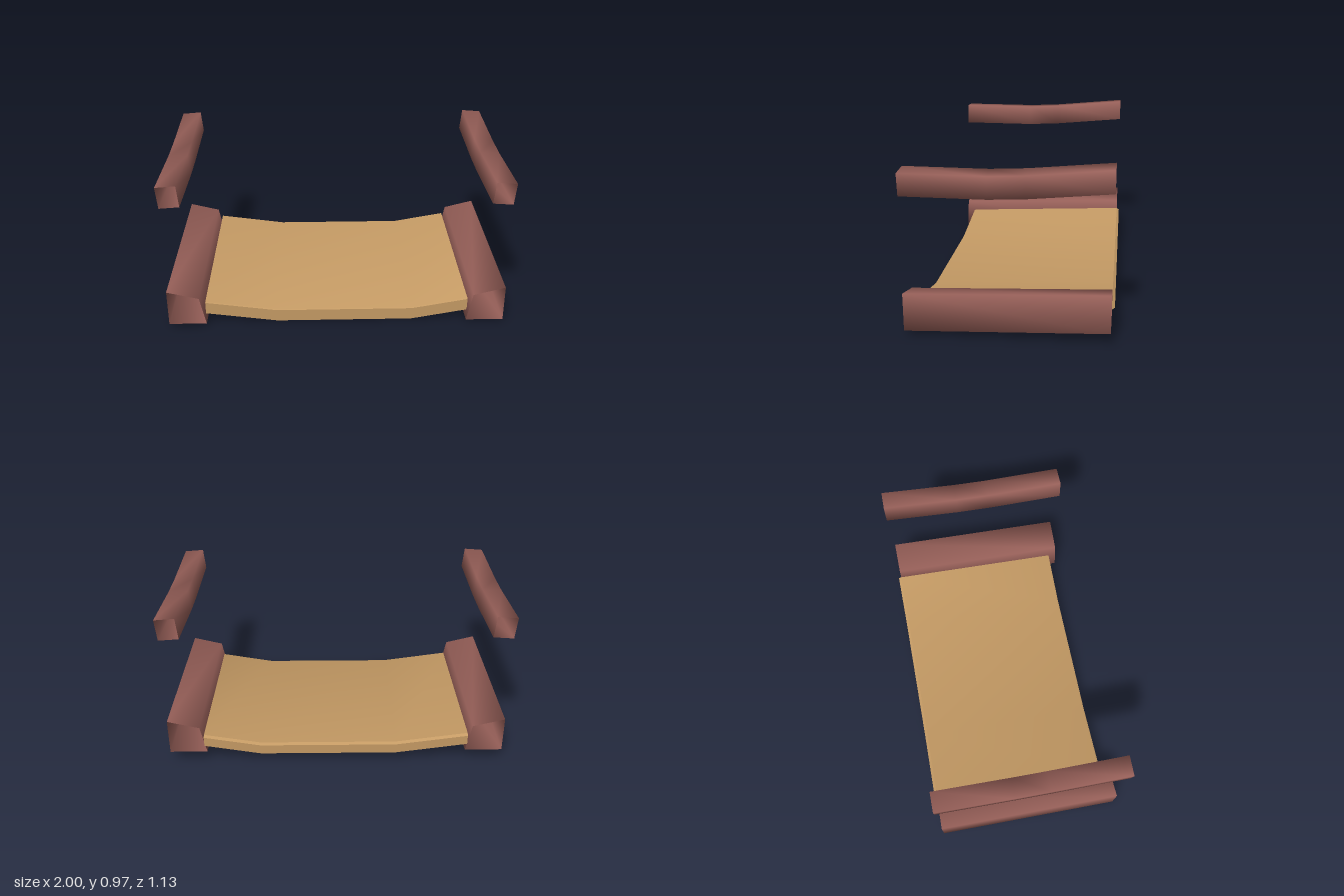
import * as THREE from 'three';
import { toCreasedNormals } from 'three/addons/utils/BufferGeometryUtils.js';

// Skin between equal rings of [x, y, z], each counter-clockwise from the front, running front to back.
function loft(rings, capped) {
  const n = rings[0].length, last = (rings.length - 1) * n, index = [];
  for (let i = 0; i < rings.length - 1; i++) {
    for (let j = 0; j < n; j++) {
      const a = i * n + j, b = i * n + (j + 1) % n, c = a + n, d = b + n;
      index.push(a, c, b, b, c, d);
    }
  }
  if (capped) {
    for (let j = 0; j < n / 2 - 1; j++) {
      const [a, b, c, d] = [j, j + 1, n - 2 - j, n - 1 - j];
      index.push(a, b, c, a, c, d);
      index.push(last + a, last + c, last + b, last + a, last + d, last + c);
    }
  }
  const g = new THREE.BufferGeometry();
  g.setAttribute('position', new THREE.Float32BufferAttribute(rings.flat(2), 3));
  g.setIndex(index);
  g.computeVertexNormals();
  return g;
}

// Open-ended tube: a cross-section lifted along z, mirrored for side -1.
function tube(section, stations, side) {
  return loft(stations.map(([z, lift]) => {
    const ring = section.map(([x, y]) => [side * x - 0.002, y + lift, z]);
    return side < 0 ? ring.reverse() : ring;
  }), false);
}

export function createModel() {
  const model = new THREE.Group();
  model.name = 'seat';
  const wood = new THREE.MeshStandardMaterial({ color: 0x965f58, side: THREE.DoubleSide });
  wood.name = 'reddish brown';
  const fabric = new THREE.MeshStandardMaterial({ color: 0xc49a64 });
  fabric.name = 'tan';

  const add = (name, geometry, material) => {
    const mesh = new THREE.Mesh(geometry, material);
    mesh.name = name;
    model.add(mesh);
  };

  // Hollow side rails and curved armrests
  const railSection = [[0.775, 0.027], [0.997, 0.027], [0.997, 0.245], [0.81, 0.198]];
  const railPath = [[0.565, 0], [-0.55, 0.048]];
  const armSection = [[0.872, 0.794], [0.988, 0.786], [1.0, 0.912], [0.884, 0.921]];
  const armPath = [[0.565, 0], [0.1, -0.001], [-0.1, 0.009], [-0.55, 0.052]];
  for (const [label, side] of [['left', 1], ['right', -1]]) {
    add(label + 'SideRail', tube(railSection, railPath, side), wood);
    add(label + 'Armrest', tube(armSection, armPath, side), wood);
  }

  // Dished cushion with small bevels, rising toward the back
  const profile = [[-0.785, 0.062], [-0.36, 0.003], [0.45, 0.003], [0.785, 0.062]];
  const cushionRing = (z, lift, inset) => [
    ...profile.map(([x, y]) => [x, y + lift + inset, z]),
    ...profile.slice().reverse().map(([x, y]) => [x, y + 0.081 + lift - inset, z]),
  ];
  const cushion = loft([
    cushionRing(0.515, 0, 0.004),
    cushionRing(0.505, 0.001, 0),
    cushionRing(-0.55, 0.055, 0),
    cushionRing(-0.566, 0.056, 0.011),
  ], true);
  add('seatCushion', toCreasedNormals(cushion, 0.6), fabric);

  return model;
}
